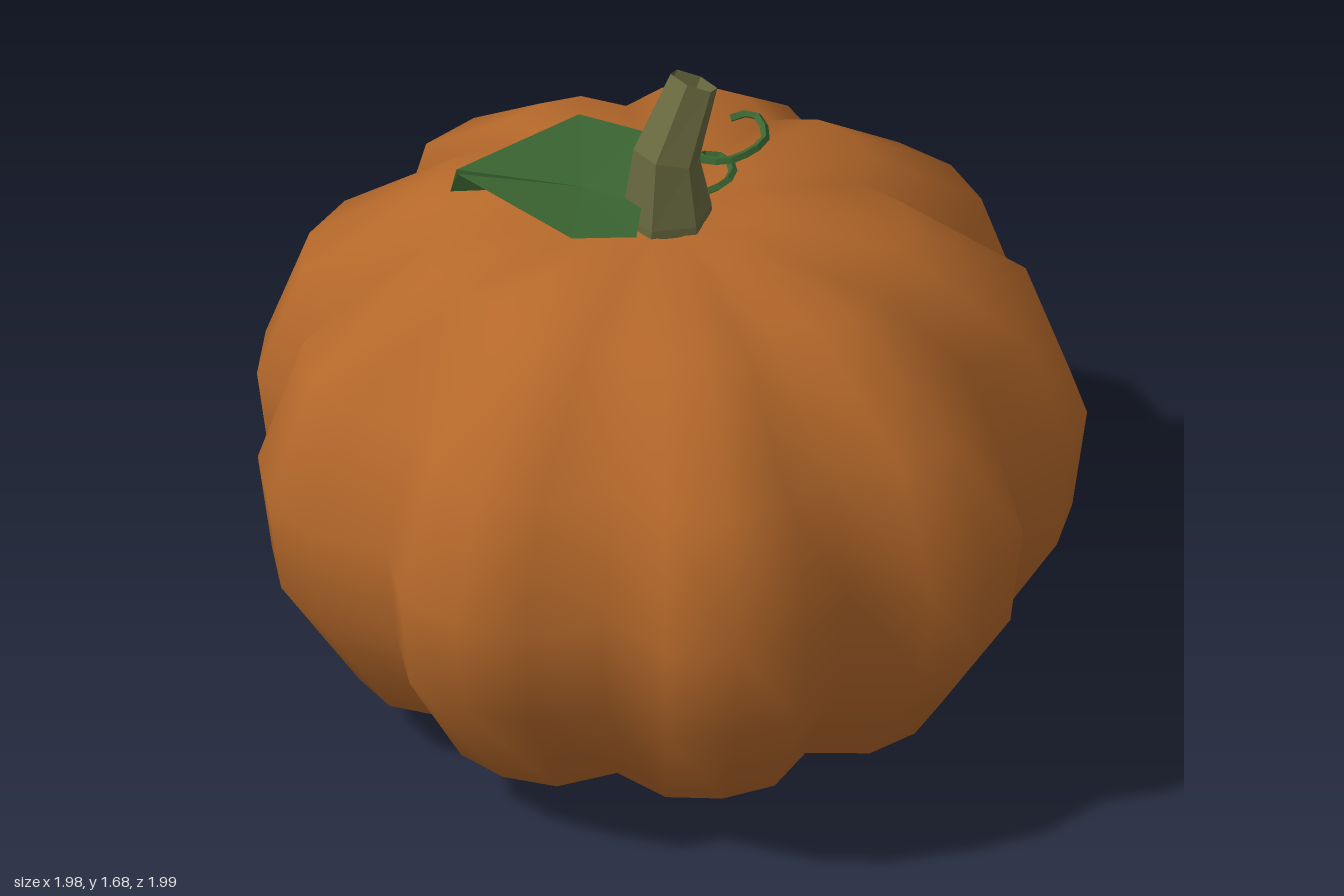
import * as THREE from 'three';
import { mergeVertices } from 'three/addons/utils/BufferGeometryUtils.js';

const orange = new THREE.MeshStandardMaterial({ name: 'orange rind', color: 0xb5682a });
const olive = new THREE.MeshStandardMaterial({ name: 'olive stem', color: 0x66663e, side: THREE.DoubleSide, flatShading: true });
const green = new THREE.MeshStandardMaterial({ name: 'leaf green', color: 0x3b6632, side: THREE.DoubleSide, flatShading: true });

function add(group, name, geometry, material) {
  const mesh = new THREE.Mesh(geometry, material);
  mesh.name = name;
  group.add(mesh);
  return mesh;
}

// Lathe with nine lobes: every fourth spoke falls into a groove
function bodyGeometry() {
  const profile = [[0, 0.02], [0.385, 0.005], [0.77, 0.16], [0.965, 0.475], [1, 0.745],
    [0.89, 1.06], [0.58, 1.295], [0.23, 1.35], [0, 1.31]].map(([r, y]) => new THREE.Vector2(r, y));
  const lobe = [1.012, 0.988, 0.87, 0.988];
  const lathe = new THREE.LatheGeometry(profile, 36);
  const p = lathe.attributes.position;
  for (let i = 0; i < p.count; i++) {
    const spoke = Math.floor(i / profile.length) % 36;
    const r = profile[i % profile.length].x * lobe[spoke % 4];
    const a = spoke * Math.PI / 18;
    p.setXYZ(i, r * Math.cos(a), p.getY(i), -r * Math.sin(a));
  }
  lathe.deleteAttribute('normal');
  lathe.deleteAttribute('uv');
  const g = mergeVertices(lathe, 1e-4);
  g.computeVertexNormals();
  return g;
}

// Open six-sided tube; each ring has a centre, a radius and a lean towards +x
function stemGeometry() {
  const rings = [
    { c: [-0.015, 1.3, 0.005], r: 0.112, lean: 0 },
    { c: [-0.015, 1.35, 0.005], r: 0.108, lean: 0 },
    { c: [-0.008, 1.5, -0.005], r: 0.083, lean: 0.3 },
    { c: [0.095, 1.655, -0.025], r: 0.062, lean: 0.5 },
  ];
  const pos = [], idx = [];
  rings.forEach(({ c, r, lean }, k) => {
    for (let i = 0; i < 6; i++) {
      const a = i * Math.PI / 3, x = r * Math.sin(a);
      pos.push(c[0] + x * Math.cos(lean), c[1] - x * Math.sin(lean), c[2] + r * Math.cos(a));
      if (k === 0) continue;
      const j = (i + 1) % 6, lo = (k - 1) * 6, hi = k * 6;
      idx.push(lo + i, lo + j, hi + j, lo + i, hi + j, hi + i);
    }
  });
  return meshFrom(pos, idx);
}

// Heart-shaped leaf: a fan around the low midrib, with a drooping tip
function leafGeometry() {
  const pos = [
    -0.15, 1.39, -0.15,
    -0.03, 1.39, -0.09, 0.1, 1.4, -0.22, 0.01, 1.42, -0.35,
    -0.37, 1.43, -0.355, -0.385, 1.37, -0.36, -0.38, 1.43, -0.34,
    -0.335, 1.42, 0.03, -0.2, 1.405, 0.11, -0.09, 1.39, 0.0,
  ];
  const idx = [];
  for (let i = 1; i <= 9; i++) idx.push(0, i, i % 9 + 1);
  return meshFrom(pos, idx);
}

function meshFrom(pos, idx) {
  const g = new THREE.BufferGeometry();
  g.setAttribute('position', new THREE.Float32BufferAttribute(pos, 3));
  g.setIndex(idx);
  g.computeVertexNormals();
  return g;
}

// Curling tendril
function tendrilGeometry() {
  const path = [[0.04, 1.38, 0.03], [0.08, 1.38, 0.05], [0.16, 1.385, 0.04], [0.19, 1.39, -0.02],
    [0.14, 1.4, -0.06], [0.12, 1.42, -0.01], [0.16, 1.43, 0.04], [0.26, 1.45, 0.045],
    [0.285, 1.47, -0.03], [0.24, 1.46, -0.06]].map(v => new THREE.Vector3(...v));
  return new THREE.TubeGeometry(new THREE.CatmullRomCurve3(path), 18, 0.011, 4);
}

export function createModel() {
  const group = new THREE.Group();
  group.name = 'pumpkin';
  add(group, 'body', bodyGeometry(), orange).position.x = -0.02;
  add(group, 'stem', stemGeometry(), olive);
  add(group, 'leaf', leafGeometry(), green);
  add(group, 'tendril', tendrilGeometry(), green);
  return group;
}
